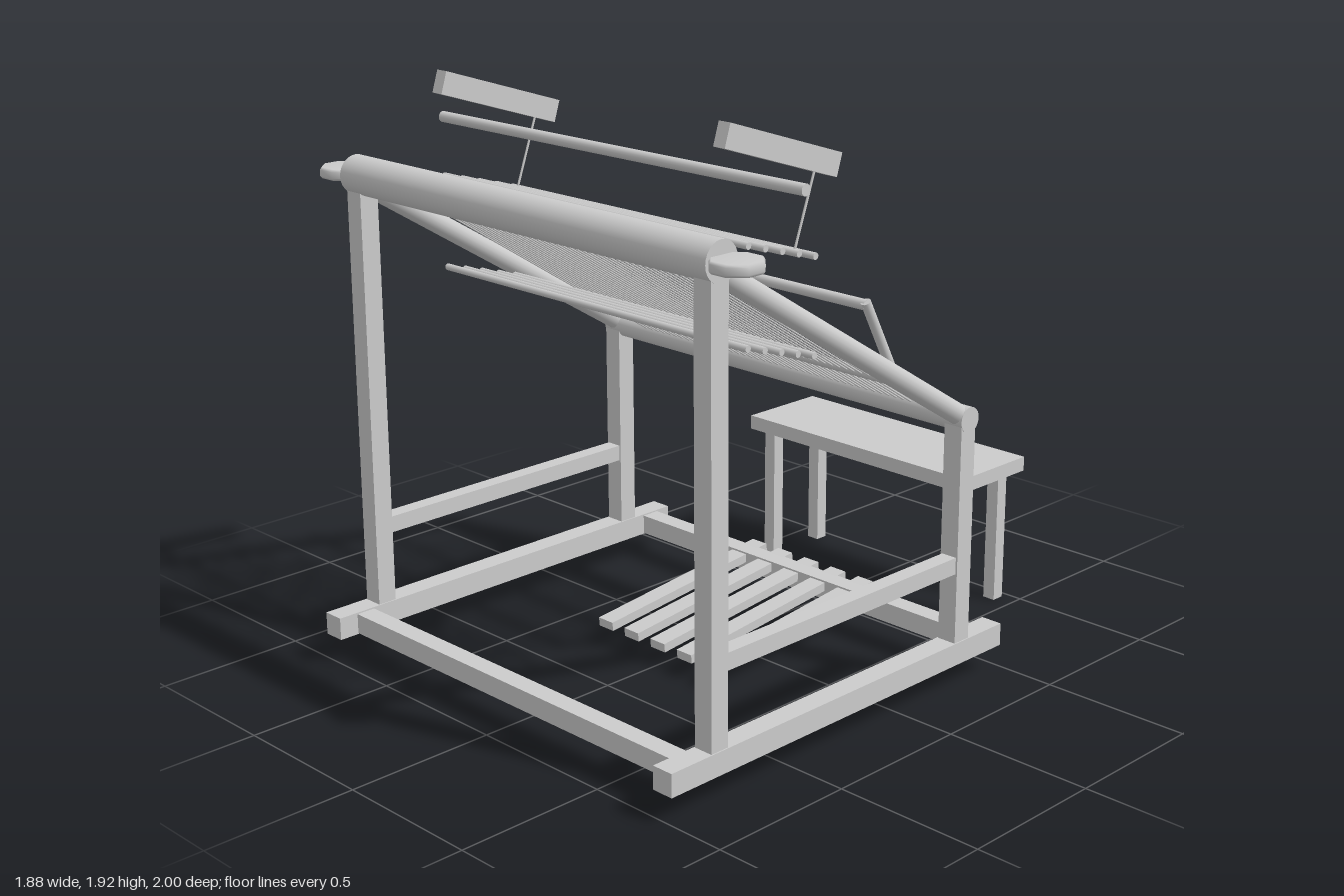
import * as THREE from 'three';

const mat = new THREE.MeshStandardMaterial({ color: 0xcccccc });
const V = (x, y, z) => new THREE.Vector3(x, y, z);

export function createModel() {
  const root = new THREE.Group();

  const add = (name, geo, x, y, z) => {
    const m = new THREE.Mesh(geo, mat);
    m.name = name;
    m.position.set(x, y, z);
    root.add(m);
    return m;
  };
  const box = (name, w, h, d, x, y, z, tilt = 0) => {
    const m = add(name, new THREE.BoxGeometry(w, h, d), x, y, z);
    m.rotation.x = tilt;
    return m;
  };
  // Round bar between two points
  const rod = (name, a, b, r, sides = 16) => {
    const mid = a.clone().add(b).multiplyScalar(0.5);
    const m = add(name, new THREE.CylinderGeometry(r, r, a.distanceTo(b), sides), mid.x, mid.y, mid.z);
    m.quaternion.setFromUnitVectors(V(0, 1, 0), b.clone().sub(a).normalize());
    return m;
  };
  const crossRod = (name, half, y, z, r, sides) => rod(name, V(-half, y, z), V(half, y, z), r, sides);

  // Side frames, mirrored
  for (const s of [-1, 1]) {
    const x = 0.773 * s;
    box('baseRail', 0.075, 0.075, 1.48, x, 0.123, 0.26);
    box('frontPost', 0.067, 1.42, 0.067, x, 0.87, 0.805);
    box('rearPost', 0.067, 0.74, 0.067, x, 0.53, -0.283);
    box('sideRail', 0.055, 0.055, 1.04, x, 0.422, 0.26);
    rod('slopingRail', V(x, 1.567, 0.8), V(x, 0.877, -0.325), 0.034);

    // Eight-sided turning knob at the end of the top beam
    const profile = [[0, -0.018], [0.075, -0.018], [0.081, -0.01], [0.081, 0.01], [0.075, 0.018], [0, 0.018]]
      .map(p => new THREE.Vector2(...p));
    add('beamKnob', new THREE.LatheGeometry(profile, 8), 0.865 * s, 1.592, 0.8).rotation.y = Math.PI / 8;

    // Tilted lever with its hanging cord
    box('lever', 0.045, 0.073, 0.485, 0.617 * s, 1.807, 0.376, -0.31);
    rod('leverCord', V(0.613 * s, 1.73, 0.222), V(0.613 * s, 1.492, 0.308), 0.004, 6);

    rod('beaterSide', V(0.695 * s, 1.322, 0.083), V(0.695 * s, 1.033, -0.071), 0.016);
  }

  // Base cross bars
  box('frontCrossBar', 1.5, 0.067, 0.067, 0, 0.122, 0.897);
  box('rearCrossBar', 1.5, 0.067, 0.067, 0, 0.122, -0.39);

  // Beams
  crossRod('topBeam', 0.808, 1.591, 0.8, 0.062, 24);
  crossRod('clothBeam', 0.808, 0.895, -0.288, 0.042, 24);
  crossRod('castleRod', 0.795, 1.73, 0.457, 0.018);

  // Beater rails
  crossRod('beaterTopRail', 0.695, 1.31, 0.076, 0.017);
  crossRod('beaterBottomRail', 0.695, 1.045, -0.065, 0.017);

  // Warp threads
  for (let i = 0; i <= 40; i++) {
    const x = -0.6 + i * 0.03;
    rod('warpThread', V(x, 1.585, 0.8), V(x, 0.895, -0.288), 0.003, 6);
  }

  // Heddle rods and treadles, five of each
  for (let i = 0; i < 5; i++) {
    const z = 0.556 - i * 0.0695;
    crossRod('upperHeddleRod', 0.672, 1.568 - i * 0.0195, z, 0.011, 10);
    crossRod('lowerHeddleRod', 0.672, 1.27 - i * 0.0195, z, 0.011, 10);
    box('treadle', 0.066, 0.03, 0.745, (i - 2) * 0.124, 0.107, -0.092, 0.103);
  }

  // Bench
  box('benchSeat', 0.985, 0.05, 0.33, 0, 0.5, -0.834);
  for (const x of [-0.417, 0.417])
    for (const z of [-0.712, -0.95]) box('benchLeg', 0.046, 0.48, 0.046, x, 0.24, z);

  return root;
}
